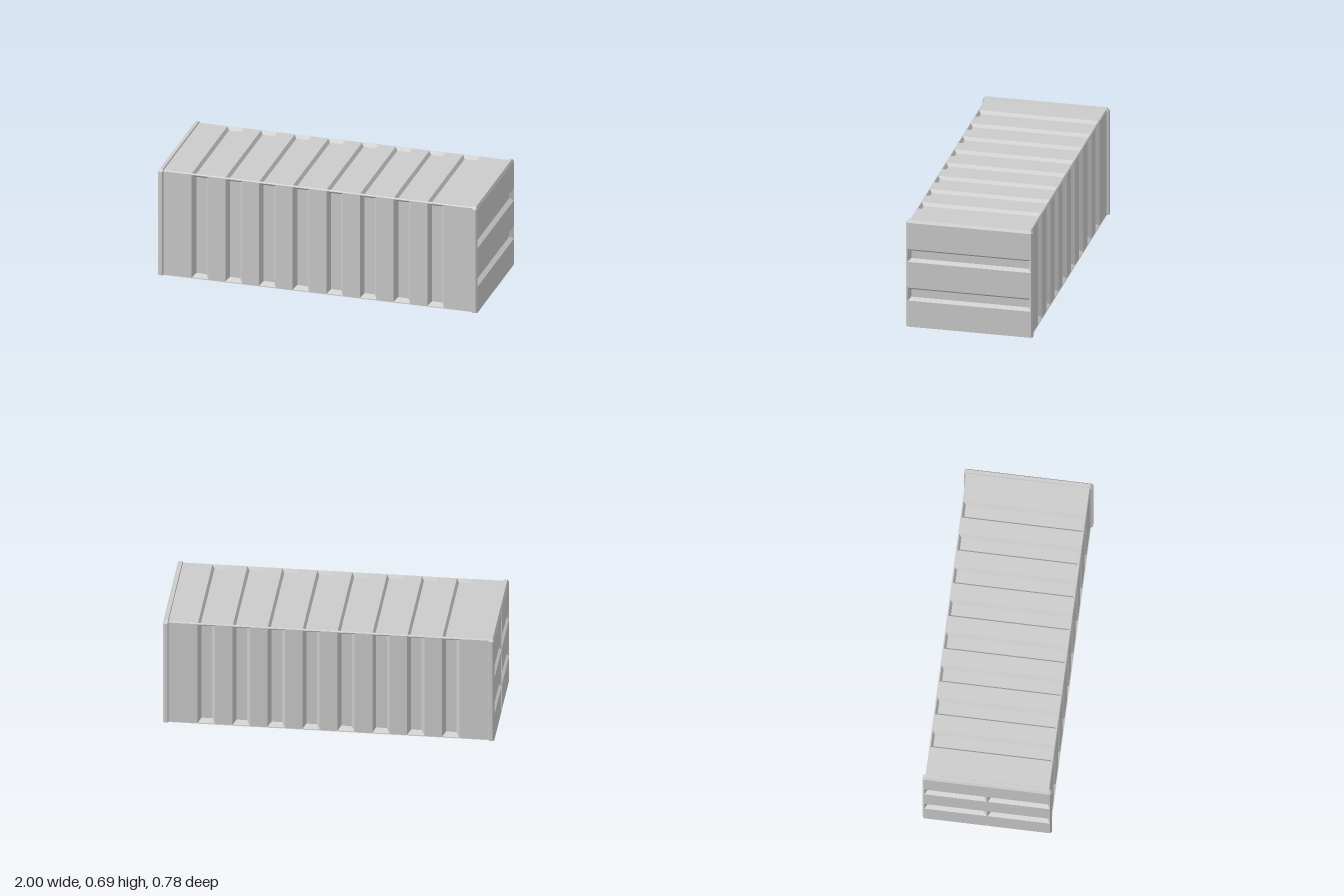
import * as THREE from 'three';
import { mergeGeometries } from 'three/addons/utils/BufferGeometryUtils.js';

const material = new THREE.MeshStandardMaterial({ color: 0xcccccc, flatShading: true, side: THREE.DoubleSide });

// Flat-shaded geometry from a list of four-cornered faces
function quads(faces) {
  const p = [];
  for (const [a, b, c, d] of faces) p.push(...a, ...b, ...c, ...a, ...c, ...d);
  const g = new THREE.BufferGeometry();
  g.setAttribute('position', new THREE.Float32BufferAttribute(p, 3));
  g.computeVertexNormals();
  return g;
}

const corners = (x0, y0, x1, y1, z) => [[x0, y0, z], [x1, y0, z], [x1, y1, z], [x0, y1, z]];

// Sheet facing +z, pressed inwards by sloped rectangular recesses [x0, y0, x1, y1]
function pressedPanel(x0, y0, x1, y1, recesses, bevel, depth) {
  const outline = (r) => corners(...r, 0).map(([x, y]) => new THREE.Vector2(x, y));
  const shape = new THREE.Shape(outline([x0, y0, x1, y1]));
  const faces = [];
  for (const r of recesses) {
    shape.holes.push(new THREE.Path(outline(r)));
    const outer = corners(...r, 0);
    const inner = corners(r[0] + bevel, r[1] + bevel, r[2] - bevel, r[3] - bevel, -depth);
    faces.push(inner);
    for (let i = 0; i < 4; i++) {
      const j = (i + 1) % 4;
      faces.push([outer[i], outer[j], inner[j], inner[i]]);
    }
  }
  const sheet = new THREE.ShapeGeometry(shape).toNonIndexed();
  sheet.deleteAttribute('uv');
  return mergeGeometries([sheet, quads(faces)]);
}

// Chamfered hoop around the +x end, lofted from cross-sections
function endFrame() {
  const sections = [
    [0.965, 0.375, 0.678, 0.006],
    [0.97, 0.39, 0.69, 0.015],
    [0.99, 0.39, 0.69, 0.015],
    [1, 0.38, 0.673, 0],
  ].map(([x, h, t, c]) => [
    [x, 0, h], [x, t - c, h], [x, t, h - c], [x, t, c - h], [x, t - c, -h], [x, 0, -h],
  ]);
  const faces = [];
  for (let s = 0; s < sections.length - 1; s++) {
    const a = sections[s], b = sections[s + 1];
    for (let i = 0; i < 6; i++) {
      const j = (i + 1) % 6;
      faces.push([a[i], b[i], b[j], a[j]]);
    }
  }
  return quads(faces);
}

export function createModel() {
  const model = new THREE.Group();
  model.name = 'shippingContainer';
  const add = (name, geometry) => {
    const mesh = new THREE.Mesh(geometry, material);
    mesh.name = name;
    model.add(mesh);
    return mesh;
  };

  const halfWidth = 0.375, sideTop = 0.676, roofY = 0.682, roofHalf = 0.37;

  // Eight evenly spaced corrugations along the sides and roof
  const ribs = (y0, y1) => Array.from({ length: 8 }, (_, i) => {
    const x = -0.738 + i * 0.2107;
    return [x - 0.052, y0, x + 0.052, y1];
  });

  // Long sides
  for (const s of [1, -1]) {
    const side = add(s > 0 ? 'frontSide' : 'backSide',
      pressedPanel(-0.985, 0, 0.985, sideTop, ribs(0.004, 0.672), 0.02, 0.03));
    // Mirror the recess positions by turning the whole panel
    side.rotation.y = s > 0 ? 0 : Math.PI;
    side.position.z = s * halfWidth;
    const edge = add('roofEdge', quads([[
      [-0.985, sideTop, halfWidth], [0.985, sideTop, halfWidth],
      [0.985, roofY, roofHalf], [-0.985, roofY, roofHalf],
    ]]));
    edge.rotation.y = side.rotation.y;
  }

  // Roof
  const roof = add('roof', pressedPanel(-0.985, -roofHalf, 0.985, roofHalf, ribs(-0.367, 0.367), 0.014, 0.02));
  roof.rotation.x = -Math.PI / 2;
  roof.position.y = roofY;

  // Floor
  const floor = add('floor', new THREE.PlaneGeometry(2, 0.76));
  floor.rotation.x = Math.PI / 2;

  // End frames
  add('endFrame', endFrame());
  add('doorFrame', endFrame()).rotation.y = Math.PI;

  // Solid end wall with two horizontal recesses
  const bands = (z0, z1) => [[z0, 0.169, z1, 0.253], [z0, 0.42, z1, 0.503]];
  const endWall = add('endWall', pressedPanel(-0.38, 0, 0.38, 0.673, bands(-0.379, 0.379), 0.017, 0.025));
  endWall.rotation.y = Math.PI / 2;
  endWall.position.x = 1;

  // Pair of doors with a narrow seam
  for (const [name, z0, z1] of [['leftDoor', 0.003, 0.38], ['rightDoor', -0.38, -0.003]]) {
    const door = add(name, pressedPanel(z0, 0, z1, 0.673, bands(z0 + 0.001, z1 - 0.001), 0.017, 0.025));
    door.rotation.y = -Math.PI / 2;
    door.position.x = -1;
  }
  const seam = add('doorSeam', new THREE.BoxGeometry(0.01, 0.673, 0.008));
  seam.position.set(-0.985, 0.3365, 0);

  return model;
}
